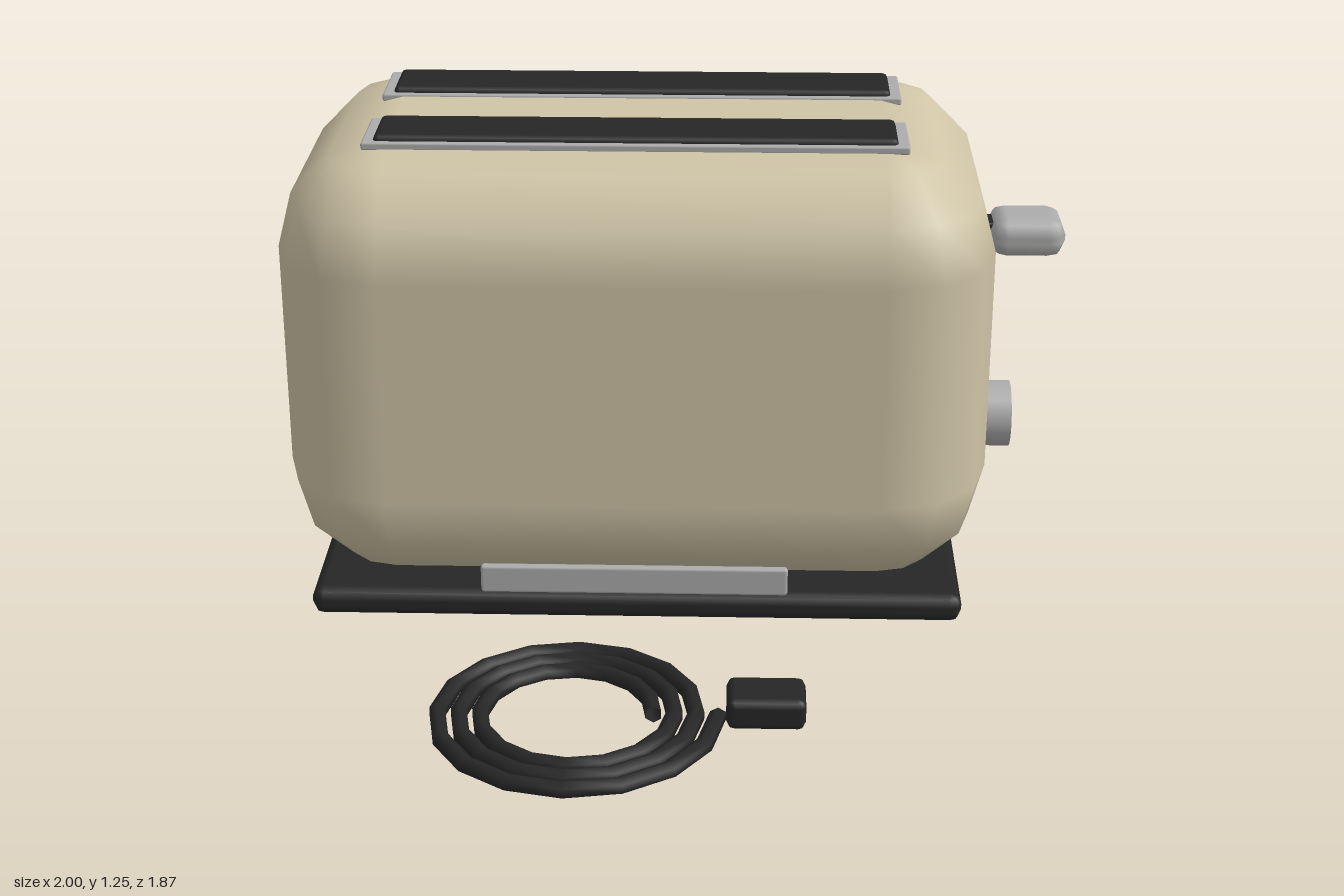
import * as THREE from 'three';

const material = (color, extra = {}) => new THREE.MeshStandardMaterial({ color, ...extra });

// Box with rounded edges: a sphere of n steps per quadrant, pulled apart at its quadrant seams
function roundedBox(w, h, d, r, n) {
  const pos = [], nor = [], index = [];
  const cols = 4 * (n + 1), rows = 2 * (n + 1);
  const half = Math.PI / 2;
  for (let j = 0; j < rows; j++) {
    const sy = j <= n ? 1 : -1;
    const theta = (j <= n ? j : j - 1) * half / n;
    for (let i = 0; i < cols; i++) {
      const q = Math.floor(i / (n + 1));
      const phi = (i - q) * half / n;
      const sx = q === 1 || q === 2 ? 1 : -1, sz = q < 2 ? 1 : -1;
      const nx = -Math.cos(phi) * Math.sin(theta);
      const ny = Math.cos(theta);
      const nz = Math.sin(phi) * Math.sin(theta);
      nor.push(nx, ny, nz);
      pos.push(sx * (w / 2 - r) + nx * r, sy * (h / 2 - r) + ny * r, sz * (d / 2 - r) + nz * r);
      if (j < rows - 1) {
        const k = (i + 1) % cols;
        const a = j * cols + k, b = j * cols + i, c = b + cols, e = a + cols;
        index.push(a, b, e, b, c, e);
      }
    }
  }
  // flat top and bottom
  const t = [0, 1, 2, 3].map(q => q * (n + 1));
  const u = t.map(v => v + (rows - 1) * cols);
  index.push(t[0], t[1], t[2], t[0], t[2], t[3], u[0], u[2], u[1], u[0], u[3], u[2]);
  const g = new THREE.BufferGeometry();
  g.setAttribute('position', new THREE.Float32BufferAttribute(pos, 3));
  g.setAttribute('normal', new THREE.Float32BufferAttribute(nor, 3));
  g.setIndex(index);
  return g;
}

// Flat spiral, stepped evenly by angle
class Spiral extends THREE.Curve {
  constructor(r0, r1, turns) {
    super();
    Object.assign(this, { r0, r1, turns });
  }
  getPoint(t, target = new THREE.Vector3()) {
    const a = t * this.turns * Math.PI * 2;
    const r = this.r0 + (this.r1 - this.r0) * t;
    return target.set(r * Math.cos(a), 0, -r * Math.sin(a));
  }
  getUtoTmapping(u) { return u; }
}

export function createModel() {
  const model = new THREE.Group();
  model.name = 'toaster';
  const cream = material(0xcfc4a6);
  const dark = material(0x262626);
  const metal = material(0xacacac);

  const add = (name, geometry, mat, x, y, z) => {
    const mesh = new THREE.Mesh(geometry, mat);
    mesh.name = name;
    mesh.position.set(x, y, z);
    model.add(mesh);
    return mesh;
  };
  // Rounded box given by its limits on each axis
  const block = (name, mat, [x0, x1], [y0, y1], [z0, z1], r, n) =>
    add(name, roundedBox(x1 - x0, y1 - y0, z1 - z0, r, n), mat,
      (x0 + x1) / 2, (y0 + y1) / 2, (z0 + z1) / 2);

  // Housing and base
  block('body', cream, [-1, 0.8], [0.085, 1.23], [-0.937, 0.157], 0.28, 3);
  block('base', dark, [-0.935, 0.74], [0.01, 0.085], [-0.87, 0.093], 0.03, 2);
  block('frontPlate', metal, [-0.485, 0.29], [0.13, 0.205], [0.152, 0.176], 0.008, 2);

  // Two bread slots with metal frames
  for (const z of [-0.595, -0.185]) {
    block('slotFrame', metal, [-0.775, 0.575], [1.215, 1.236], [z - 0.104, z + 0.104], 0.006, 2);
    block('breadSlot', dark, [-0.747, 0.547], [1.21, 1.25], [z - 0.09, z + 0.09], 0.014, 2);
  }

  // Lever track, lever and dial on the side
  const side = -0.39;
  block('leverTrack', dark, [0.775, 0.82], [0.33, 0.945], [side - 0.038, side + 0.038], 0.006, 2);
  block('lever', metal, [0.805, 1], [0.86, 0.965], [side - 0.091, side + 0.091], 0.045, 2);
  const dial = add('dial', new THREE.CylinderGeometry(0.088, 0.088, 0.1, 24), metal, 0.835, 0.393, side);
  dial.rotation.z = -Math.PI / 2;

  // Coiled cord and its plug
  const cord = new THREE.TubeGeometry(new Spiral(0.195, 0.35, 3), 48, 0.022, 6);
  add('cord', cord, material(0x262626, { side: THREE.DoubleSide }), -0.23, 0.022, 0.58);
  block('plug', dark, [0.14, 0.33], [0.015, 0.095], [0.508, 0.642], 0.02, 2);

  return model;
}
